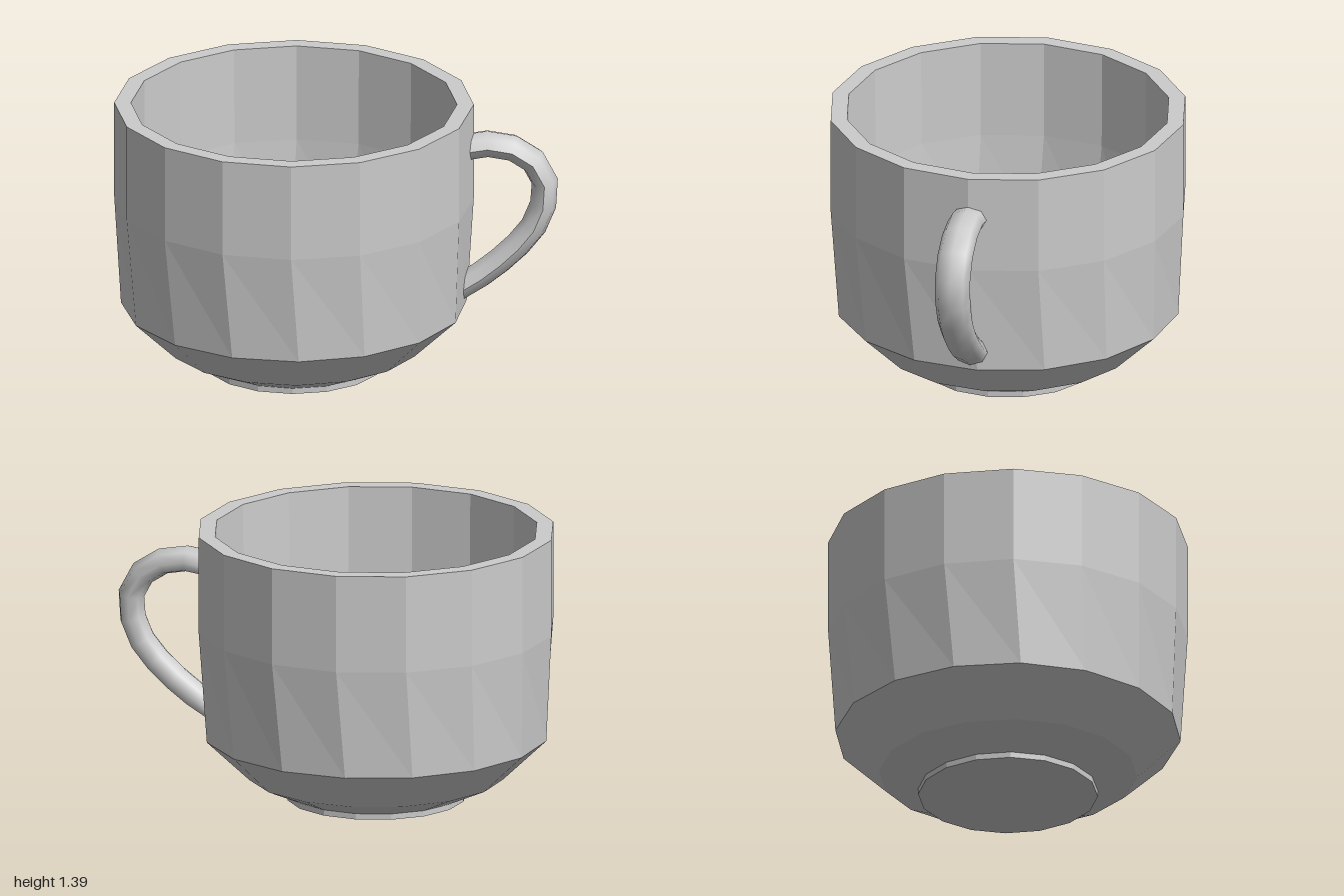
import * as THREE from 'three';

const SIDES = 16;
const HANDLE_ANGLE = THREE.MathUtils.degToRad(35);

// Faceted cup wall: up the outside, over the rim and down the inside
function createCup(material) {
  // radius, height, twist in degrees
  const profile = [
    [0, 0, 0], [0.452, 0, 0], [0.452, 0.03, 0], [0.65, 0.12, 2],
    [0.87, 0.33, 2.5], [0.904, 0.89, 0], [0.904, 1.39, 0],
    [0.82, 1.39, 0], [0.815, 0.89, 0], [0.785, 0.37, 2],
    [0.6, 0.19, 1], [0.38, 0.11, 0], [0, 0.11, 0],
  ];
  const geometry = new THREE.LatheGeometry(
    profile.map(([r, y]) => new THREE.Vector2(r, y)), SIDES);

  // Turn the lower rings slightly so their facets lean
  const pos = geometry.attributes.position;
  const v = new THREE.Vector3();
  const up = new THREE.Vector3(0, 1, 0);
  for (let i = 0; i < pos.count; i++) {
    const twist = profile[i % profile.length][2];
    v.fromBufferAttribute(pos, i).applyAxisAngle(up, THREE.MathUtils.degToRad(twist));
    pos.setXYZ(i, v.x, v.y, v.z);
  }
  geometry.computeVertexNormals();
  const cup = new THREE.Mesh(geometry, material);
  cup.name = 'cup';
  return cup;
}

// Smooth looped handle, wider sideways than it is thick
function createHandle(material) {
  const path = new THREE.CatmullRomCurve3([
    [0.85, 1.16], [1.0, 1.18], [1.14, 1.14], [1.235, 1.05], [1.265, 0.93],
    [1.21, 0.75], [1.1, 0.615], [0.94, 0.48], [0.83, 0.41],
  ].map(([x, y]) => new THREE.Vector3(x, y, 0)));
  const geometry = new THREE.TubeGeometry(path, 10, 0.067, 8);
  geometry.scale(1, 1, 1.35);
  geometry.computeVertexNormals();
  const handle = new THREE.Mesh(geometry, material);
  handle.name = 'handle';
  return handle;
}

export function createModel() {
  const faceted = new THREE.MeshStandardMaterial({ color: 0xcccccc, flatShading: true });
  const smooth = new THREE.MeshStandardMaterial({ color: 0xcccccc, side: THREE.DoubleSide });

  const mug = new THREE.Group();
  mug.name = 'mug';
  mug.add(createCup(faceted), createHandle(smooth));
  mug.rotation.y = HANDLE_ANGLE;
  mug.position.x = -0.112;

  const model = new THREE.Group();
  model.add(mug);
  return model;
}
